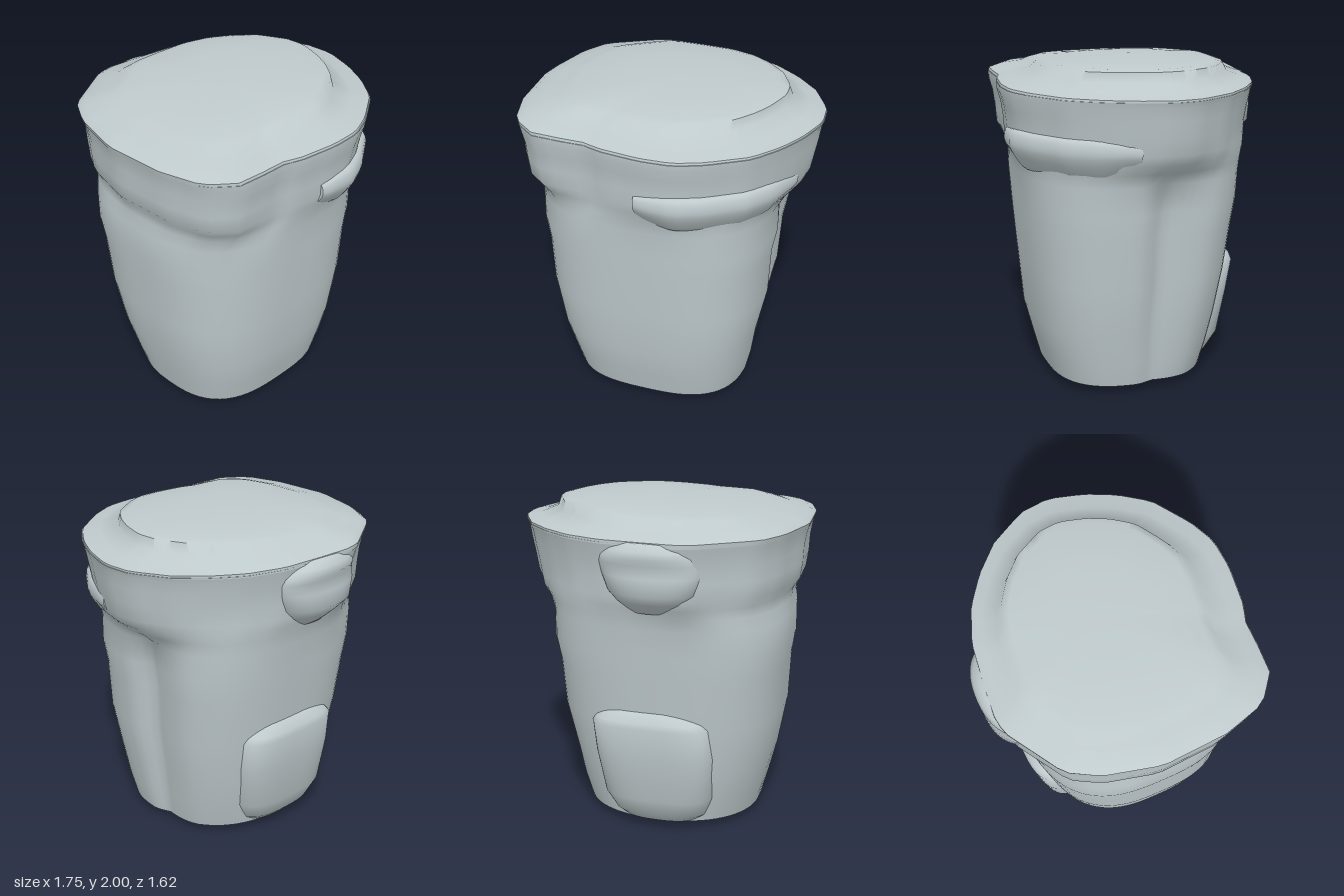
import * as THREE from 'three';
import { toCreasedNormals } from 'three/addons/utils/BufferGeometryUtils.js';

const SEG = 80;

// Rim outline seen from above, as [x, z] going from +x towards +z
const RIM = [[0.87, 0.03], [0.81, 0.24], [0.73, 0.41], [0.61, 0.58], [0.39, 0.73], [0.23, 0.8], [0.04, 0.81],
  [-0.21, 0.78], [-0.3, 0.745], [-0.45, 0.745], [-0.63, 0.735], [-0.78, 0.615], [-0.855, 0.36], [-0.88, -0.03],
  [-0.8, -0.36], [-0.7, -0.54], [-0.38, -0.74], [-0.28, -0.77], [-0.05, -0.75], [0.2, -0.72], [0.41, -0.64],
  [0.58, -0.52], [0.73, -0.37], [0.85, -0.15]];

// Rim outline at angle t, scaled to fit -1..1
function rimUnit(t) {
  const dx = Math.cos(t), dz = Math.sin(t);
  for (let i = 0; i < RIM.length; i++) {
    const [ax, az] = RIM[i], [bx, bz] = RIM[(i + 1) % RIM.length];
    const ca = dx * az - dz * ax, cb = dx * bz - dz * bx;
    const k = ca / (ca - cb);
    const x = ax + (bx - ax) * k, z = az + (bz - az) * k;
    if (ca <= 0 && cb > 0 && x * dx + z * dz > 0) return [(x + 0.005) / 0.875, (z - 0.02) / 0.79];
  }
  return [dx, dz];
}

// Rounded square at angle t
function squareUnit(t, n) {
  const c = Math.cos(t), s = Math.sin(t);
  const r = Math.pow(Math.abs(c) ** n + Math.abs(s) ** n, -1 / n);
  return [c * r, s * r];
}

// Horizontal loop fitted to a box; w blends from rounded square to rim outline,
// n and nf set how square the back and front corners are
function ring(y, x0, x1, z0, z1, { w = 0, n = 2.7, nf = n, tilt = 0, groove = 0 } = {}) {
  const loop = [];
  for (let i = 0; i < SEG; i++) {
    const t = (i / SEG) * Math.PI * 2;
    const a = t > Math.PI ? t - Math.PI * 2 : t;
    const p = squareUnit(t, a > 0 ? nf : n), q = rimUnit(t);
    // seam groove near the +x middle, steep on its front side
    const d = a + 0.08;
    const k = 1 - groove * Math.max(0, 1 - Math.abs(d) / (d > 0 ? 0.2 : 0.45));
    const x = (x0 + x1) / 2 + ((x1 - x0) / 2) * k * (p[0] * (1 - w) + q[0] * w);
    const z = (z0 + z1) / 2 + ((z1 - z0) / 2) * (p[1] * (1 - w) + q[1] * w);
    loop.push([x, y + tilt * x, z]);
  }
  return loop;
}

// Skin a stack of closed loops and close both ends with a centre point
function loft(loops, bottom, top) {
  const m = loops[0].length;
  const pos = loops.flat(2), idx = [];
  for (let i = 0; i < loops.length - 1; i++) {
    for (let j = 0; j < m; j++) {
      const a = i * m + j, b = i * m + (j + 1) % m;
      idx.push(a, a + m, b, b, a + m, b + m);
    }
  }
  const first = loops.length * m, last = first - m;
  pos.push(...bottom, ...top);
  for (let j = 0; j < m; j++) {
    const k = (j + 1) % m;
    idx.push(first, j, k, first + 1, last + k, last + j);
  }
  const g = new THREE.BufferGeometry();
  g.setAttribute('position', new THREE.Float32BufferAttribute(pos, 3));
  g.setIndex(idx);
  return toCreasedNormals(g, 1.0);
}

export function createModel() {
  const group = new THREE.Group();
  const plastic = new THREE.MeshStandardMaterial({ color: 0xbfcacd });
  plastic.name = 'grey plastic';
  const add = (name, geometry) => {
    const mesh = new THREE.Mesh(geometry, plastic);
    mesh.name = name;
    group.add(mesh);
  };

  // Tapered bin body with a bulging band under the rim
  add('body', loft([
    ring(0.025, -0.45, 0.25, -0.32, 0.36, { n: 2.2 }),
    ring(0.05, -0.6, 0.49, -0.45, 0.535, { n: 2.2, nf: 2.9, groove: 0.07 }),
    ring(0.2, -0.64, 0.525, -0.48, 0.575, { n: 2.4, nf: 2.9, groove: 0.08 }),
    ring(0.4, -0.69, 0.555, -0.52, 0.625, { n: 2.6, nf: 2.9, groove: 0.09 }),
    ring(0.7, -0.745, 0.62, -0.56, 0.65, { n: 2.7, nf: 2.9, groove: 0.11 }),
    ring(1.0, -0.76, 0.635, -0.6, 0.68, { n: 2.8, groove: 0.11 }),
    ring(1.15, -0.785, 0.665, -0.62, 0.69, { n: 2.8, groove: 0.11 }),
    ring(1.32, -0.785, 0.665, -0.64, 0.705, { groove: 0.07 }),
    ring(1.4, -0.775, 0.715, -0.665, 0.72, { w: 0.35 }),
    ring(1.46, -0.785, 0.78, -0.695, 0.745, { w: 0.75 }),
    ring(1.52, -0.825, 0.81, -0.72, 0.765, { w: 1 }),
    ring(1.62, -0.84, 0.83, -0.72, 0.77, { w: 1 }),
    ring(1.72, -0.845, 0.85, -0.735, 0.785, { w: 1 }),
    ring(1.8, -0.858, 0.862, -0.755, 0.808, { w: 1 }),
    ring(1.84, -0.872, 0.875, -0.765, 0.81, { w: 1, tilt: -0.008 }),
  ], [-0.17, 0.005, -0.05], [0, 1.84, 0]));

  // Lid with sloping lip and a slightly domed raised top
  add('lid', loft([
    ring(1.83, -0.87, 0.87, -0.765, 0.808, { w: 1, tilt: -0.008 }),
    ring(1.855, -0.878, 0.87, -0.765, 0.802, { w: 1, tilt: -0.012 }),
    ring(1.88, -0.835, 0.77, -0.72, 0.72, { w: 1, tilt: -0.018 }),
    ring(1.91, -0.745, 0.665, -0.62, 0.605, { w: 1 }),
    ring(1.953, -0.66, 0.645, -0.575, 0.565, { w: 0.9, tilt: 0.025 }),
    ring(1.967, -0.6, 0.6, -0.53, 0.52, { w: 0.9, tilt: 0.022 }),
    ring(1.985, -0.35, 0.35, -0.32, 0.3, { w: 0.8, tilt: 0.015 }),
  ], [0, 1.83, 0], [0, 2, 0]));

  // Grip bar wrapping the front corner on the +x side, its underside flaring into the wall
  const bar = [];
  const steps = 20;
  for (let i = 0; i <= steps; i++) {
    const t = 1.59 - (i / steps) * 1.37;
    const u = rimUnit(t);
    const fade = Math.min(1, 0.3 + 3 * Math.min(i, steps - i) / steps);
    const loop = [];
    for (let j = 0; j < 20; j++) {
      const p = squareUnit((j / 20) * Math.PI * 2, 2.6);
      const low = Math.max(0, -p[1]);
      const r = 0.92 + (p[0] * 0.5 + 0.5) * (0.06 + 0.05 * fade) - 0.08 * low * low;
      loop.push([0.825 * u[0] * r, 1.53 + p[1] * (0.085 + 0.075 * low * low) * (0.6 + 0.4 * fade), 0.02 + 0.77 * u[1] * r]);
    }
    bar.push(loop);
  }
  const centre = (l) => [0, 1, 2].map((k) => l.reduce((sum, p) => sum + p[k], 0) / l.length);
  add('frontGrip', loft(bar, centre(bar[0]), centre(bar[steps])));

  // Raised panel low on the back
  add('backPanel', loft([
    ring(0.05, -0.32, 0.18, -0.46, -0.1, { n: 2.6 }),
    ring(0.1, -0.37, 0.22, -0.51, -0.1, { n: 2.8 }),
    ring(0.22, -0.41, 0.27, -0.565, -0.1, { n: 3.2 }),
    ring(0.5, -0.43, 0.31, -0.6, -0.15, { n: 3.6 }),
    ring(0.7, -0.41, 0.32, -0.63, -0.2, { n: 3.6 }),
    ring(0.735, -0.38, 0.3, -0.62, -0.2, { n: 3.6 }),
    ring(0.79, -0.3, 0.25, -0.575, -0.25, { n: 3 }),
  ], [-0.07, 0.05, -0.3], [-0.03, 0.8, -0.4]));

  // Hinge lump under the rim at the back, spreading into the band
  add('hinge', loft([
    ring(1.43, -0.24, 0.06, -0.68, -0.45, { n: 2.2 }),
    ring(1.5, -0.32, 0.12, -0.75, -0.45, { n: 2.2 }),
    ring(1.56, -0.37, 0.16, -0.8, -0.45, { n: 2.2 }),
    ring(1.66, -0.4, 0.2, -0.795, -0.45, { n: 2.2 }),
    ring(1.73, -0.4, 0.22, -0.785, -0.45, { n: 2.2 }),
    ring(1.77, -0.38, 0.2, -0.812, -0.45, { n: 2.2 }),
    ring(1.81, -0.35, 0.16, -0.8, -0.45, { n: 2.2 }),
    ring(1.85, -0.28, 0.08, -0.77, -0.45, { n: 2.2 }),
  ], [-0.09, 1.42, -0.56], [-0.1, 1.86, -0.62]));

  return group;
}
